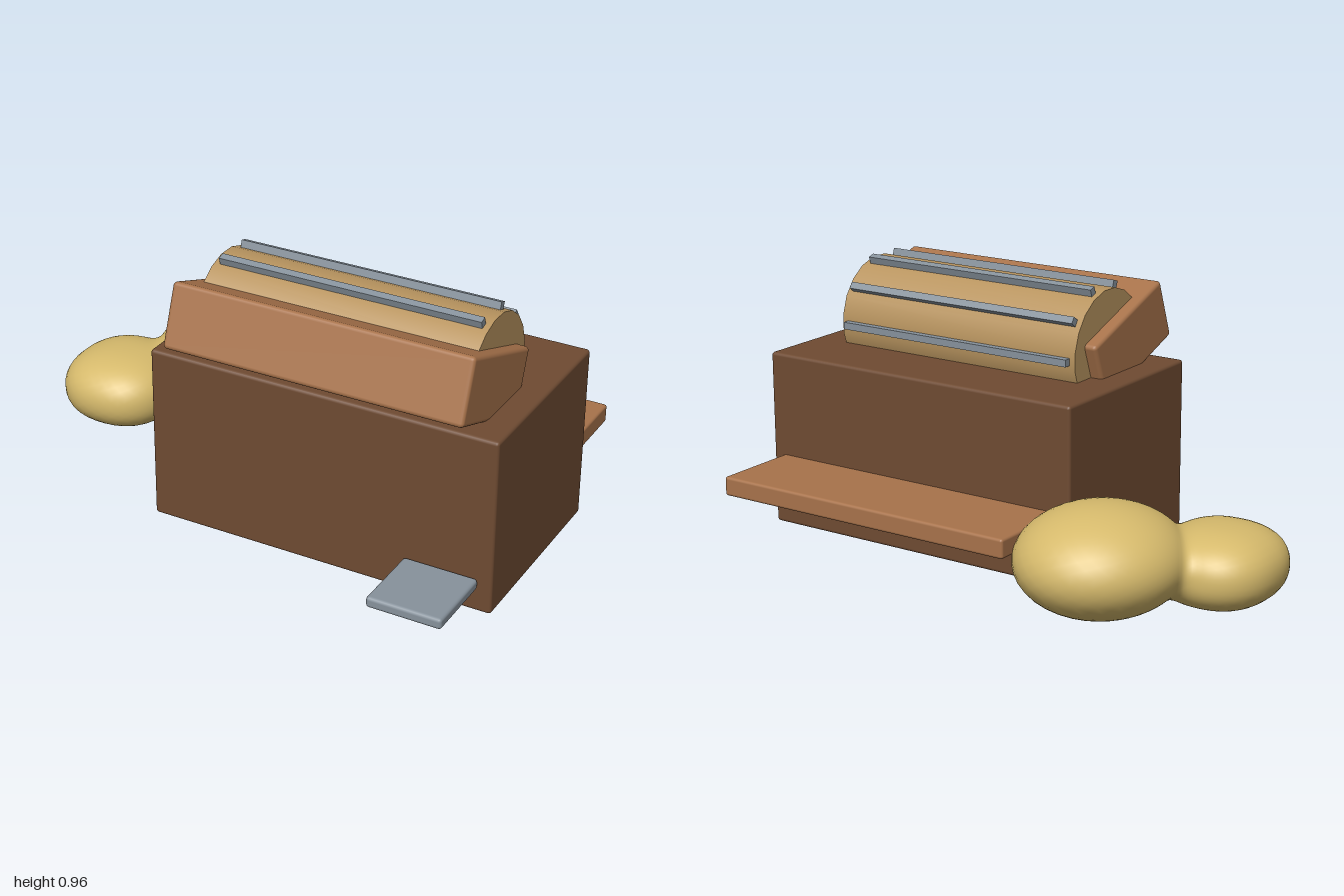
import * as THREE from 'three';
import { RoundedBoxGeometry } from 'three/addons/geometries/RoundedBoxGeometry.js';
import { mergeVertices } from 'three/addons/utils/BufferGeometryUtils.js';

const material = (name, color) => {
  const m = new THREE.MeshStandardMaterial({ color });
  m.name = name;
  return m;
};

export function createModel() {
  const model = new THREE.Group();
  model.name = 'threshingMachine';
  const darkWood = material('darkWood', 0x6f4b32);
  const lightWood = material('lightWood', 0xa8734b);
  const drumWood = material('drumWood', 0xb8945f);
  const metal = material('metal', 0x87929c);
  const straw = material('straw', 0xd6ba6c);

  const add = (parent, name, geometry, mat, x, y, z) => {
    const mesh = new THREE.Mesh(geometry, mat);
    mesh.name = name;
    mesh.position.set(x, y, z);
    parent.add(mesh);
    return mesh;
  };
  const box = (w, h, d, r) => new RoundedBoxGeometry(w, h, d, 2, r);

  // Main body, rear tray and front pedal
  add(model, 'body', box(1.295, 0.645, 0.74, 0.012), darkWood, 0.347, 0.333, 0.068);
  add(model, 'rearTray', box(1.2, 0.07, 0.36, 0.01), lightWood, 0.35, 0.24, -0.445);
  add(model, 'pedal', box(0.27, 0.04, 0.275, 0.012), metal, 0.812, 0.12, 0.578);

  // Sloping hood over the front of the drum
  const hood = add(model, 'hood', box(1.105, 0.23, 0.46, 0.015), lightWood, 0.348, 0.748, 0.2575);
  hood.rotation.x = -THREE.MathUtils.degToRad(20);

  // Drum lying along x, with beater bars around it
  const drum = new THREE.Group();
  drum.name = 'drum';
  drum.position.set(0.348, 0.73, 0.163);
  model.add(drum);
  const roller = new THREE.CylinderGeometry(0.22, 0.22, 1.015, 20);
  roller.rotateY(Math.PI / 20).rotateZ(Math.PI / 2);
  add(drum, 'roller', roller, drumWood, 0, 0, 0);
  for (let i = 0; i < 10; i++) {
    const a = (i / 10) * Math.PI * 2;
    const bar = add(drum, 'beaterBar', new THREE.BoxGeometry(0.97, 0.026, 0.036),
      metal, 0, Math.sin(a) * 0.226, Math.cos(a) * 0.226);
    bar.rotation.x = -a;
  }

  add(model, 'strawHeap', heapGeometry(), straw, 0, 0, 0);
  return model;
}

// Two rounded lobes blended into one skin, traced outward from the neck
function heapGeometry() {
  const lobes = [
    { c: [-0.49, 0.192, -0.4], r: [0.29, 0.187, 0.308], p: 2 },
    { c: [-0.78, 0.15, -0.118], r: [0.22, 0.138, 0.23], p: 2.3 },
  ];
  const field = (v) => {
    const [a, b] = lobes.map(({ c, r, p }) =>
      v.toArray().reduce((s, q, i) => s + Math.abs((q - c[i]) / r[i]) ** p, 0) ** (1 / p) - 1);
    const k = 0.18;
    const h = Math.max(k - Math.abs(a - b), 0) / k;
    return Math.min(a, b) - h * h * k * 0.25;
  };
  let geometry = new THREE.IcosahedronGeometry(1, 14);
  geometry.deleteAttribute('normal');
  geometry.deleteAttribute('uv');
  geometry = mergeVertices(geometry);
  const neck = new THREE.Vector3(-0.66, 0.16, -0.24);
  const pos = geometry.attributes.position;
  const dir = new THREE.Vector3();
  const point = new THREE.Vector3();
  for (let i = 0; i < pos.count; i++) {
    dir.fromBufferAttribute(pos, i).normalize();
    let near = 0, far = 1;
    for (let n = 0; n < 24; n++) {
      const mid = (near + far) / 2;
      point.copy(neck).addScaledVector(dir, mid);
      if (field(point) < 0) near = mid;
      else far = mid;
    }
    pos.setXYZ(i, point.x, point.y, point.z);
  }
  geometry.computeVertexNormals();
  return geometry;
}
